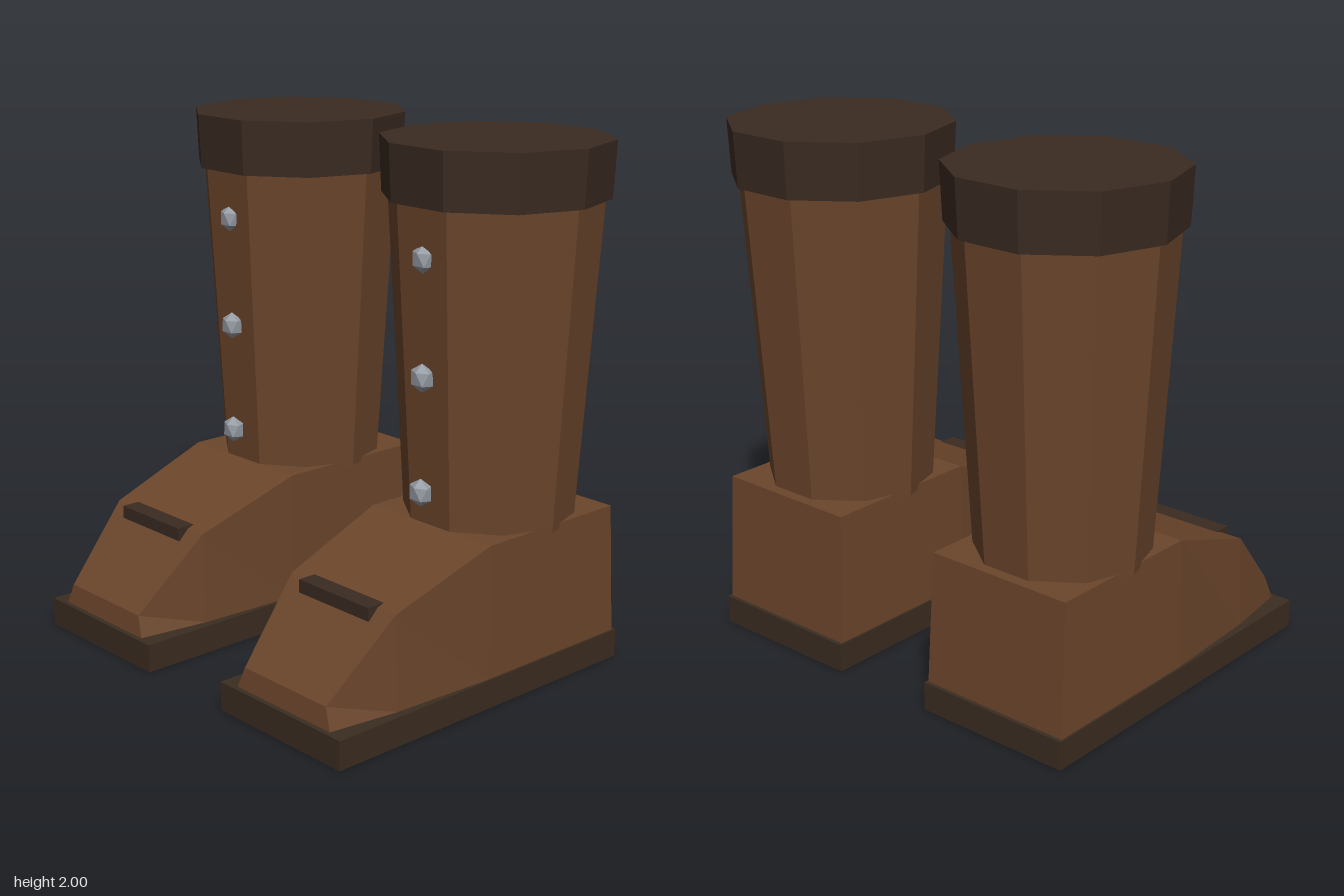
import * as THREE from 'three';

const leather = new THREE.MeshStandardMaterial({ color: 0x6b452b });
leather.name = 'brown leather';
const trim = new THREE.MeshStandardMaterial({ color: 0x3a2a21 });
trim.name = 'dark cuff leather';
const soleDark = new THREE.MeshStandardMaterial({ color: 0x3b2c20 });
soleDark.name = 'dark sole';
const steel = new THREE.MeshStandardMaterial({ color: 0x979da5 });
steel.name = 'steel';

// Faceted normals for the low-poly look
function faceted(geometry) {
  const g = geometry.index ? geometry.toNonIndexed() : geometry;
  g.computeVertexNormals();
  return g;
}

function addPart(parent, name, geometry, material, x, y, z) {
  const mesh = new THREE.Mesh(faceted(geometry), material);
  mesh.name = name;
  mesh.position.set(x, y, z);
  parent.add(mesh);
  return mesh;
}

// Ten-sided tapered tube with corners on the x axis
function decagon(rTop, rBottom, height) {
  return new THREE.CylinderGeometry(rTop, rBottom, height, 10).rotateY(Math.PI / 10);
}

// Foot lofted through four-cornered sections, heel to toe
function footGeometry() {
  // [bottom half width, bottom z, top half width, top y, top z]
  const sections = [
    [0.31, -0.69, 0.30, 0.615, -0.665],
    [0.31, -0.01, 0.30, 0.615, -0.01],
    [0.285, 0.42, 0.27, 0.465, 0.42],
    [0.245, 0.70, 0.215, 0.19, 0.69],
  ];
  const positions = [];
  const index = [];
  for (const [wb, zb, wt, yt, zt] of sections) {
    positions.push(-wb, 0.11, zb, wb, 0.11, zb, wt, yt, zt, -wt, yt, zt);
  }
  const quad = (a, b, c, d) => index.push(a, b, c, a, c, d);
  for (let i = 0; i < sections.length - 1; i++) {
    for (let j = 0; j < 4; j++) {
      const k = (j + 1) % 4;
      quad(i * 4 + j, i * 4 + k, i * 4 + 4 + k, i * 4 + 4 + j);
    }
  }
  const last = (sections.length - 1) * 4;
  quad(3, 2, 1, 0);
  quad(last, last + 1, last + 2, last + 3);
  const g = new THREE.BufferGeometry();
  g.setAttribute('position', new THREE.Float32BufferAttribute(positions, 3));
  g.setIndex(index);
  return g;
}

function createBoot(name, x) {
  const boot = new THREE.Group();
  boot.name = name;
  boot.position.x = x;

  // Foot
  addPart(boot, 'sole', new THREE.BoxGeometry(0.635, 0.11, 1.425), soleDark, 0, 0.055, 0.0075);
  addPart(boot, 'foot', footGeometry(), leather, 0, 0, 0);
  addPart(boot, 'toeStrap', new THREE.BoxGeometry(0.36, 0.05, 0.08), trim, 0, 0.45, 0.425);

  // Shaft and cuff
  addPart(boot, 'shaft', decagon(0.395, 0.32, 1.25), leather, 0, 1.22, -0.315);
  addPart(boot, 'cuff', decagon(0.425, 0.415, 0.21), trim, 0, 1.895, -0.315);

  // Flattened studs, one corner pointing up
  for (const y of [0.75, 1.177, 1.605]) {
    const stud = new THREE.IcosahedronGeometry(0.053, 0)
      .rotateX(-Math.atan((1 + Math.sqrt(5)) / 2))
      .scale(1, 1, 0.7);
    addPart(boot, 'stud', stud, steel, 0, y, 0.042);
  }
  return boot;
}

export function createModel() {
  const model = new THREE.Group();
  model.name = 'pairOfBoots';
  model.add(createBoot('leftBoot', 0.533), createBoot('rightBoot', -0.533));
  return model;
}
